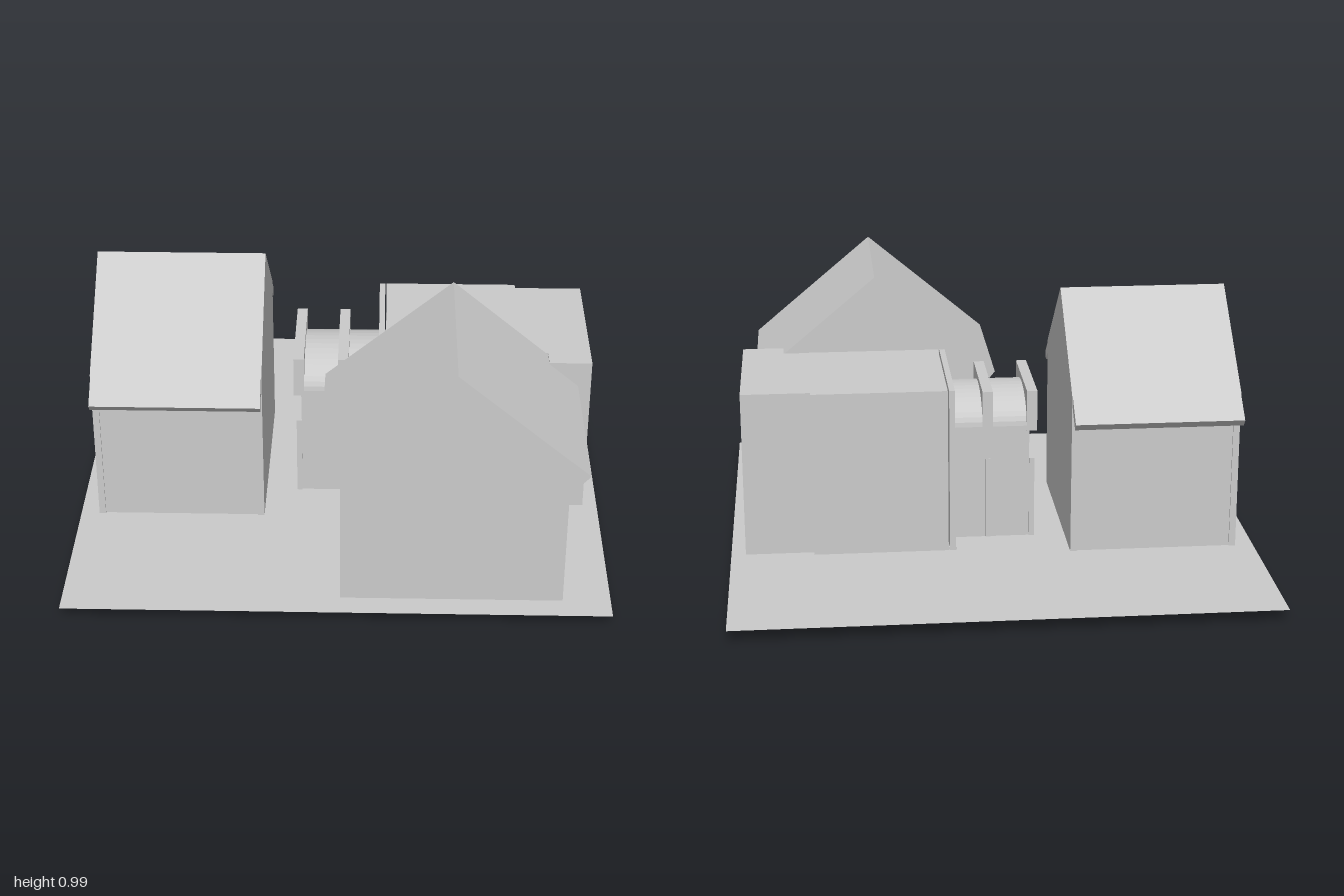
import * as THREE from 'three';

const mat = new THREE.MeshStandardMaterial({ color: 0xcccccc, flatShading: true });
const GROUND = 0.05;

function add(parent, name, geometry) {
  const mesh = new THREE.Mesh(geometry, mat);
  mesh.name = name;
  parent.add(mesh);
  return mesh;
}

// Box given by its minimum and maximum corners
function box(parent, name, [x0, y0, z0], [x1, y1, z1]) {
  const m = add(parent, name, new THREE.BoxGeometry(x1 - x0, y1 - y0, z1 - z0));
  m.position.set((x0 + x1) / 2, (y0 + y1) / 2, (z0 + z1) / 2);
  return m;
}

// Outline in x and y, extruded from z0 to z1
function slab(parent, name, points, z0, z1) {
  const shape = new THREE.Shape(points.map(([x, y]) => new THREE.Vector2(x, y)));
  const g = new THREE.ExtrudeGeometry(shape, { depth: z1 - z0, bevelEnabled: false });
  g.translate(0, 0, z0);
  return add(parent, name, g);
}

// Gabled house: ridge along z, centred on the ridge, front gable at +z
function house(name, halfWall, eave, length, sideLength) {
  const g = new THREE.Group();
  g.name = name;
  const top = 0.99, eaveY = 0.59, k = (top - eaveY) / eave, h = length / 2;
  const wallTop = top - k * halfWall;
  const gable = (bottom) => [[-halfWall, bottom], [halfWall, bottom],
    [halfWall, wallTop], [0, top], [-halfWall, wallTop]];
  slab(g, 'frontGable', gable(0.005), h - 0.025, h);
  slab(g, 'backGable', gable(GROUND), -h, -h + 0.025);
  // Folded roof with overhanging eaves cut square to the slope
  const ex = eave - 0.022, ey = eaveY - 0.027;
  slab(g, 'roof', [[-eave, eaveY], [-ex, ey], [0, top - 0.045], [ex, ey],
    [eave, eaveY], [0, top]], -h + 0.002, h - 0.002);
  for (const s of [-1, 1]) {
    const a = s * (halfWall - 0.006), b = s * (halfWall - 0.03);
    box(g, 'sideWall', [Math.min(a, b), 0.005, h - sideLength],
      [Math.max(a, b), wallTop - 0.03, h - 0.025]);
    // Footing returning beside the rear opening
    const c = s * (halfWall - 0.12);
    box(g, 'rearFooting', [Math.min(a, c), 0.005, h - sideLength],
      [Math.max(a, c), 0.1, h - sideLength + 0.025]);
  }
  return g;
}

export function createModel() {
  const model = new THREE.Group();
  model.name = 'houses';

  const ground = add(model, 'ground', new THREE.PlaneGeometry(2, 2));
  ground.material = mat.clone();
  ground.material.side = THREE.DoubleSide;
  ground.rotation.x = -Math.PI / 2;
  ground.position.y = GROUND;

  // Two gabled houses, the second turned a quarter
  const front = house('frontHouse', 0.405, 0.477, 0.69, 0.61);
  front.position.set(0.42, 0, 0.565);
  model.add(front);

  const side = house('sideHouse', 0.385, 0.479, 0.64, 0.64);
  side.rotation.y = -Math.PI / 2;
  side.position.set(-0.61, 0, 0.003);
  model.add(side);
  for (const z of [0.185, -0.165]) {
    box(model, 'doorstep', [-0.9, 0, z - 0.09], [-0.82, 0.045, z + 0.09]);
  }

  // Flat-roofed block: overlapping volumes and an end panel
  box(model, 'blockPanel', [0.145, 0.05, -0.33], [0.167, 0.69, 0.215]);
  box(model, 'blockBack', [0.172, 0.05, -0.33], [0.685, 0.69, 0.215]);
  box(model, 'blockEnd', [0.785, 0.05, -0.305], [0.945, 0.689, 0.29]);
  box(model, 'blockMiddle', [0.68, 0.05, -0.305], [0.79, 0.689, 0.215]);
  box(model, 'blockFooting', [0.14, 0.005, -0.325], [0.67, 0.06, -0.3]);

  // Barrel-vaulted passage between the houses
  const profile = [[-0.2, 0.045], [0.2, 0.045]];
  for (let i = 0; i <= 20; i++) {
    const a = (i / 20) * Math.PI;
    profile.push([0.2 * Math.cos(a), 0.5 + 0.117 * Math.sin(a)]);
  }
  const passage = slab(model, 'passage', profile, -0.15, 0.295);
  passage.rotation.y = Math.PI / 2;

  // Ribs crossing the vault, with slim posts below
  for (const x of [-0.16, 0.01]) {
    box(model, 'rib', [x - 0.02, 0.48, -0.202], [x + 0.02, 0.64, 0.202]);
    for (const s of [-1, 1]) {
      box(model, 'post', [x - 0.01, 0.045, s * 0.2 - 0.005], [x + 0.01, 0.37, s * 0.2 + 0.005]);
    }
  }
  return model;
}
